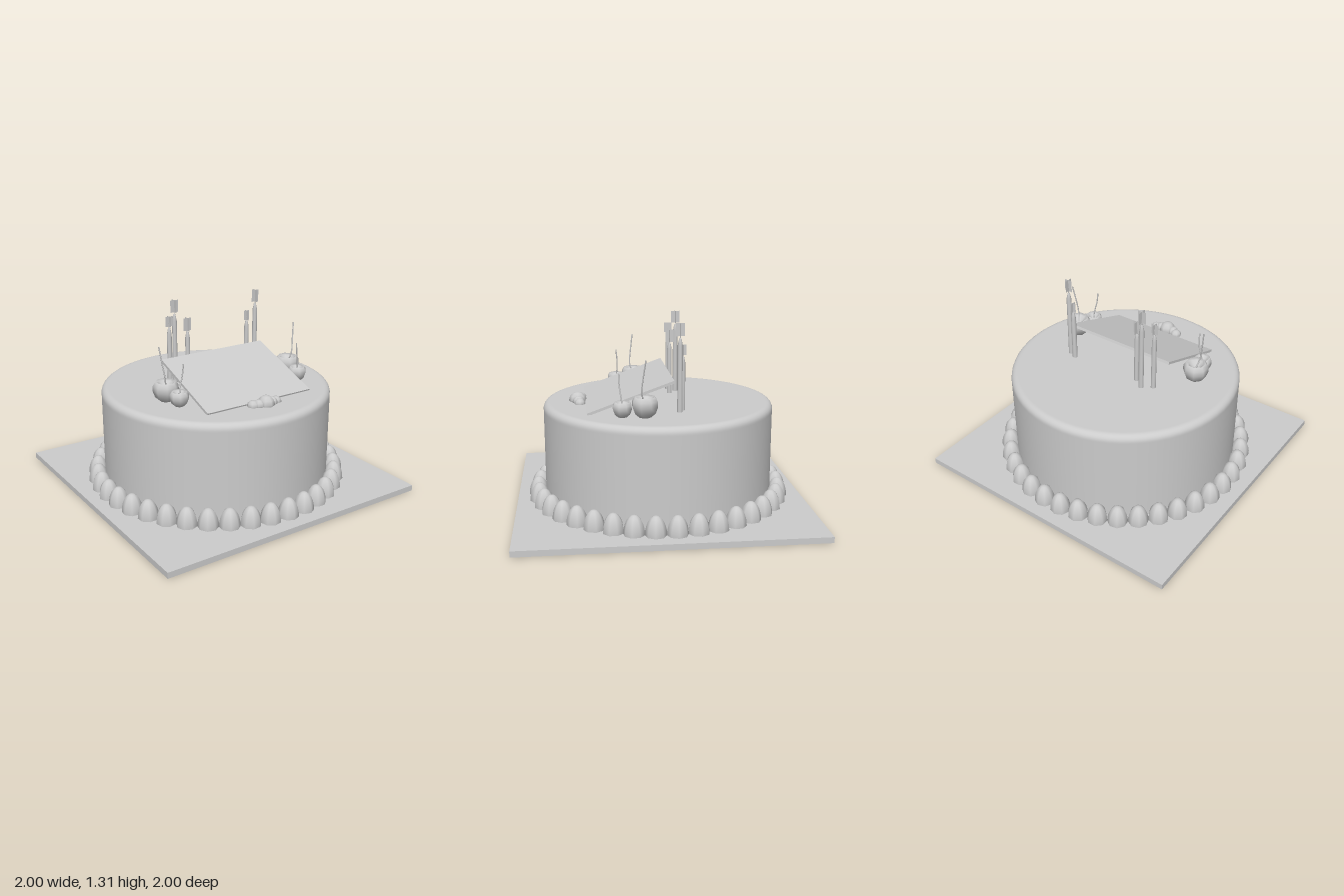
import * as THREE from 'three';

const grey = new THREE.MeshStandardMaterial({ color: 0xcccccc });
const thin = new THREE.MeshStandardMaterial({ color: 0xcccccc, side: THREE.DoubleSide });

const v2 = (pairs) => pairs.map(([x, y]) => new THREE.Vector2(x, y));

function add(parent, name, geometry, x = 0, y = 0, z = 0, material = grey) {
  const mesh = new THREE.Mesh(geometry, material);
  mesh.name = name;
  mesh.position.set(x, y, z);
  parent.add(mesh);
  return mesh;
}

const BOARD_TOP = 0.04;
const CAKE_TOP = 0.72;

// Cake drum with a rounded upper edge
function cakeGeometry() {
  const R = 0.805, r = 0.045;
  const profile = [[R, BOARD_TOP], [R, CAKE_TOP - r - 0.01]];
  for (let i = 0; i <= 6; i++) {
    const a = (i / 6) * Math.PI / 2;
    profile.push([R - r + r * Math.cos(a), CAKE_TOP - r + r * Math.sin(a)]);
  }
  profile.push([R - r - 0.01, CAKE_TOP], [0, CAKE_TOP]);
  return new THREE.LatheGeometry(v2(profile), 64);
}

// Candle: tapered stick, wick and a flame of two crossed cards
function makeCandle(x, z, stickTop, flameBase, flameTop, flameWidth) {
  const candle = new THREE.Group();
  candle.name = 'candle';
  candle.position.set(x, 0, z);
  const shoulder = stickTop - 0.05;
  add(candle, 'candleStick', new THREE.LatheGeometry(v2([
    [0.018, CAKE_TOP - 0.01], [0.017, shoulder], [0.008, stickTop - 0.005], [0, stickTop],
  ]), 8));
  const wickTop = flameBase + 0.03;
  add(candle, 'wick', new THREE.CylinderGeometry(0.003, 0.003, wickTop - stickTop + 0.02, 5),
    0, (wickTop + stickTop - 0.02) / 2, 0);
  for (const turn of [0, Math.PI / 2]) {
    const card = add(candle, 'flame', new THREE.PlaneGeometry(flameWidth, flameTop - flameBase),
      0, (flameBase + flameTop) / 2, 0, thin);
    card.rotation.y = turn;
  }
  return candle;
}

// Cherry: eight-sided body with a dimple, and a bent stem
function makeCherry(x, z, size, stemPoints) {
  const cherry = new THREE.Group();
  cherry.name = 'cherry';
  const body = add(cherry, 'cherryBody', new THREE.LatheGeometry(v2([
    [0, 0], [0.04, 0.008], [0.072, 0.036], [0.088, 0.08],
    [0.086, 0.115], [0.068, 0.142], [0.05, 0.132], [0.025, 0.105], [0, 0.098],
  ]), 8), x, CAKE_TOP - 0.005, z);
  body.scale.setScalar(size);
  body.rotation.y = Math.PI / 8;
  const curve = new THREE.CatmullRomCurve3(stemPoints.map((p) => new THREE.Vector3(...p)));
  add(cherry, 'cherryStem', new THREE.TubeGeometry(curve, 8, 0.005, 5), 0, 0, 0, thin);
  return cherry;
}

export function createModel() {
  const model = new THREE.Group();
  model.name = 'cake';

  add(model, 'board', new THREE.BoxGeometry(2, BOARD_TOP, 2), 0, BOARD_TOP / 2, 0);
  add(model, 'cakeBody', cakeGeometry());

  // Ring of piped icing domes around the base
  const dome = new THREE.SphereGeometry(1, 8, 6, 0, Math.PI * 2, 0, Math.PI / 2);
  const count = 39;
  for (let i = 0; i < count; i++) {
    const a = (i / count) * Math.PI * 2;
    const bead = add(model, 'icingDome', dome, 0.855 * Math.sin(a), BOARD_TOP, 0.855 * Math.cos(a));
    bead.scale.set(0.07, 0.13, 0.07);
    bead.rotation.y = a;
  }

  // Tilted plaque resting on its front edge
  const plaque = add(model, 'plaque', new THREE.BoxGeometry(0.835, 0.018, 0.61), 0.016, 0.825, 0.222);
  plaque.rotation.x = Math.atan2(0.205, 0.57);

  // Cluster of icing lobes at the plaque's front edge
  const lobe = new THREE.SphereGeometry(1, 8, 6);
  const lobes = [
    [0.02, 0.73, 0.565, 0.056, 0.056, 0.062],
    [-0.035, 0.728, 0.56, 0.036, 0.038, 0.042],
    [-0.07, 0.725, 0.543, 0.04, 0.036, 0.042],
    [0.072, 0.728, 0.56, 0.034, 0.038, 0.042],
    [0.108, 0.722, 0.552, 0.042, 0.036, 0.038],
  ];
  for (const [x, y, z, sx, sy, sz] of lobes) {
    add(model, 'icingLobe', lobe, x, y, z).scale.set(sx, sy, sz);
  }

  // Candles: x, z, stick top, flame base, flame top, flame width
  const candles = [
    [-0.31, -0.107, 1.14, 1.145, 1.215, 0.054],
    [-0.24, -0.153, 1.215, 1.225, 1.31, 0.062],
    [-0.167, -0.102, 1.095, 1.095, 1.185, 0.06],
    [0.355, -0.127, 1.09, 1.09, 1.16, 0.046],
    [0.41, -0.102, 1.215, 1.225, 1.31, 0.058],
  ];
  candles.forEach((c) => model.add(makeCandle(...c)));

  // Cherries in a large and small pair on each side of the plaque
  model.add(
    makeCherry(-0.49, 0.14, 1, [[-0.49, 0.81, 0.14], [-0.505, 0.88, 0.163], [-0.52, 0.98, 0.155], [-0.535, 1.1, 0.14]]),
    makeCherry(-0.465, 0.27, 0.74, [[-0.465, 0.79, 0.27], [-0.452, 0.85, 0.262], [-0.435, 0.92, 0.262], [-0.43, 1, 0.27]]),
    makeCherry(0.53, 0.14, 1, [[0.53, 0.81, 0.14], [0.548, 0.88, 0.163], [0.56, 0.98, 0.155], [0.578, 1.1, 0.138]]),
    makeCherry(0.505, 0.285, 0.74, [[0.505, 0.79, 0.285], [0.5, 0.85, 0.292], [0.485, 0.92, 0.302], [0.475, 1, 0.305]]),
  );

  return model;
}
